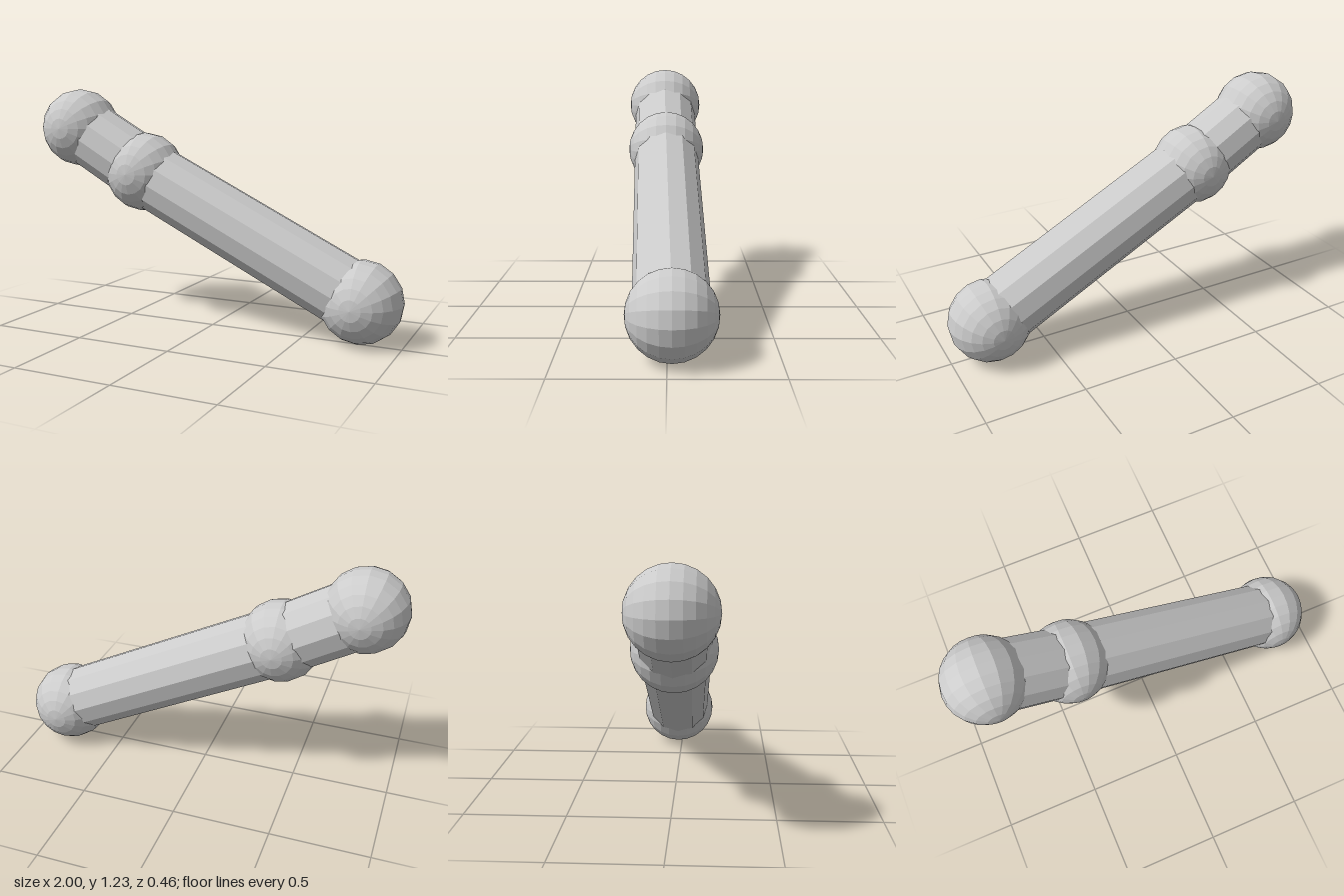
import * as THREE from 'three';

export function createModel() {
  const group = new THREE.Group();
  const material = new THREE.MeshStandardMaterial({ color: 0xcccccc, flatShading: true });
  const ballRadius = 0.208, barRadius = 0.175;

  const joints = {
    upperBall: new THREE.Vector3(-0.792, 1.025, 0.022),
    middleBall: new THREE.Vector3(-0.394, 0.797, 0.012),
    lowerBall: new THREE.Vector3(0.79, 0.208, -0.021),
  };

  // Joint balls, with their poles facing front and back
  const ball = new THREE.SphereGeometry(ballRadius, 16, 12).rotateX(Math.PI / 2);
  for (const [name, position] of Object.entries(joints)) {
    const mesh = new THREE.Mesh(ball, material);
    mesh.name = name;
    mesh.position.copy(position);
    group.add(mesh);
  }

  // Twelve-sided bars from one ball centre to the next
  function addBar(name, from, to) {
    const along = to.clone().sub(from);
    const bar = new THREE.Mesh(
      new THREE.CylinderGeometry(barRadius, barRadius, along.length(), 12), material);
    bar.name = name;
    bar.position.copy(from).add(to).multiplyScalar(0.5);
    bar.quaternion.setFromUnitVectors(new THREE.Vector3(0, 1, 0), along.normalize());
    group.add(bar);
  }
  addBar('shortBar', joints.middleBall, joints.upperBall);
  addBar('longBar', joints.lowerBall, joints.middleBall);

  return group;
}
